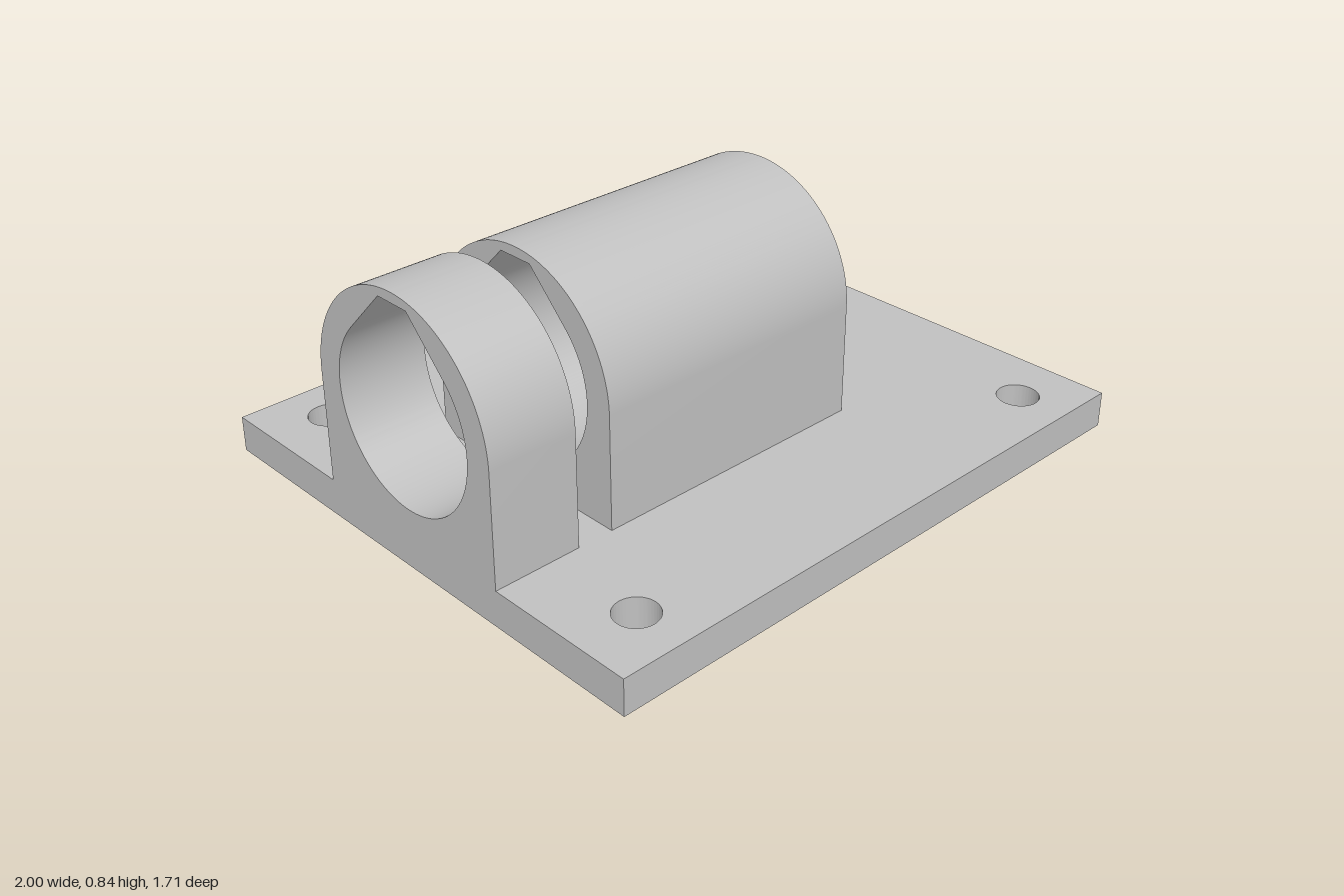
import * as THREE from 'three';
import { toCreasedNormals } from 'three/addons/utils/BufferGeometryUtils.js';

const PLATE_TOP = 0.115;
const BORE_Y = 0.47;

export function createModel() {
  const group = new THREE.Group();
  group.name = 'bearingMount';
  const grey = new THREE.MeshStandardMaterial({ color: 0xc0c0c0 });
  grey.name = 'grey';

  const extrude = (shape, depth) =>
    new THREE.ExtrudeGeometry(shape, { depth, bevelEnabled: false, curveSegments: 64 });
  const add = (geometry, name) => {
    const mesh = new THREE.Mesh(toCreasedNormals(geometry, 0.4), grey);
    mesh.name = name;
    group.add(mesh);
  };

  // Base plate with four screw holes
  const plate = new THREE.Shape();
  plate.moveTo(-1, -0.857);
  plate.lineTo(1, -0.857);
  plate.lineTo(1, 0.857);
  plate.lineTo(-1, 0.857);
  plate.closePath();
  for (const x of [-0.8, 0.8]) {
    for (const z of [-0.685, 0.685]) {
      plate.holes.push(new THREE.Path().absarc(x, z, 0.066, 0, Math.PI * 2, true));
    }
  }
  add(extrude(plate, PLATE_TOP).rotateX(-Math.PI / 2), 'basePlate');

  // Arched block section with a teardrop bore cut flat at its tip
  const arch = new THREE.Shape();
  arch.moveTo(-0.369, PLATE_TOP);
  arch.lineTo(0.369, PLATE_TOP);
  arch.lineTo(0.369, BORE_Y);
  arch.absarc(0, BORE_Y, 0.369, 0, Math.PI, false);
  arch.closePath();
  const bore = new THREE.Path();
  bore.absarc(0, BORE_Y, 0.28, Math.PI / 4, -Math.PI * 1.25, true);
  bore.lineTo(-0.06, 0.808);
  bore.lineTo(0.06, 0.808);
  bore.closePath();
  arch.holes.push(bore);

  // Short collar and long sleeve, both running along x
  for (const [name, x0, x1] of [['endCollar', -1, -0.717], ['mainSleeve', -0.6, 0.338]]) {
    add(extrude(arch, x1 - x0).rotateY(Math.PI / 2).translate(x0, 0, 0), name);
  }
  return group;
}
